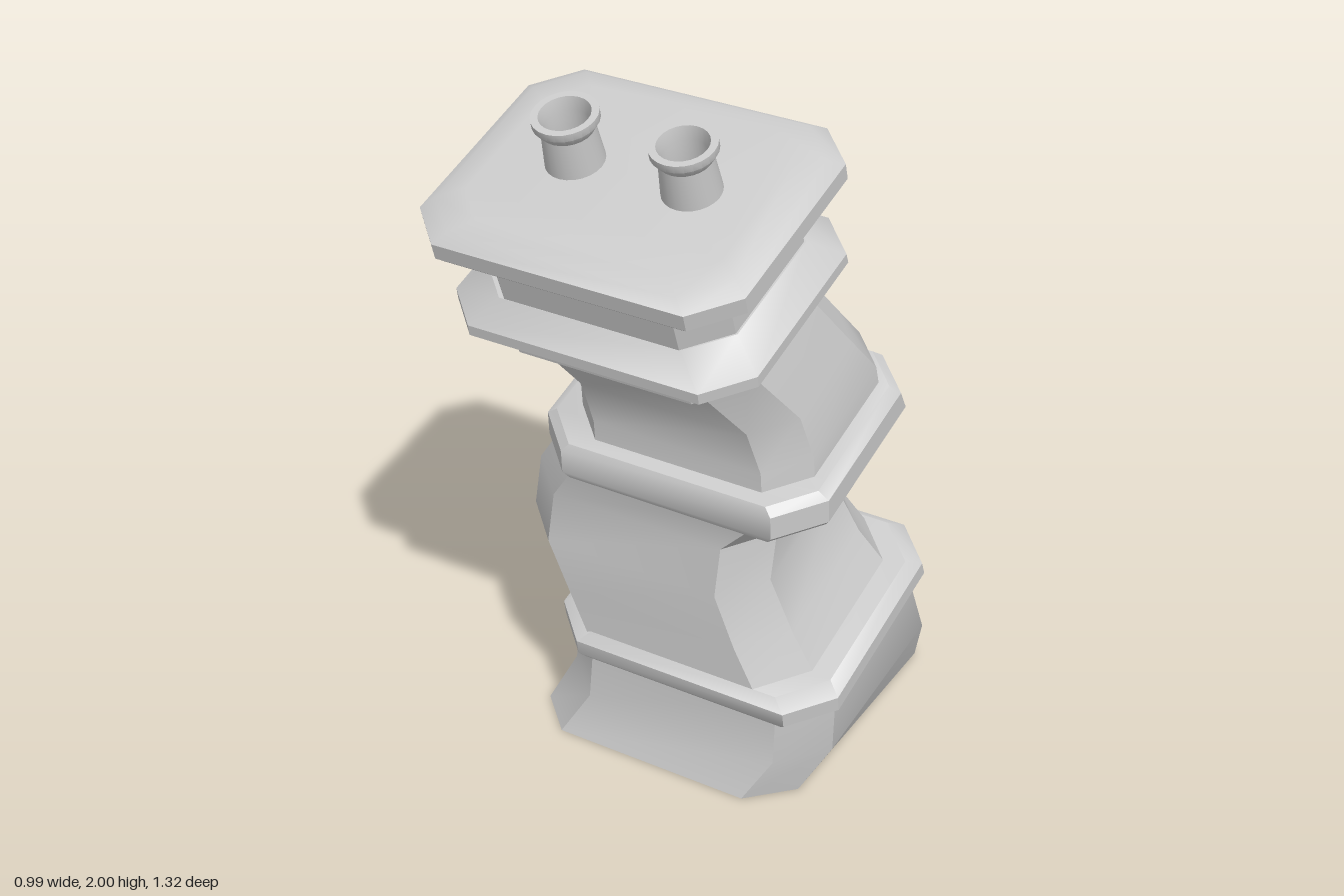
import * as THREE from 'three';
import { toCreasedNormals } from 'three/addons/utils/BufferGeometryUtils.js';

const TILT = 0.28; // forward lean shared by the collars and the cap
const material = new THREE.MeshStandardMaterial({ color: 0xcccccc });

// Solid through chamfered rectangles: [x, y, z, halfWidth, halfDepth, chamfer, tilt]
function loft(name, rings) {
  const pos = [], index = [];
  for (const [x, y, z, w, d, c, tilt = TILT] of rings) {
    const outline = [[w, d - c], [w, c - d], [w - c, -d], [c - w, -d],
      [-w, c - d], [-w, d - c], [c - w, d], [w - c, d]];
    for (const [lx, lz] of outline) {
      pos.push(x + lx, y - lz * Math.sin(tilt), z + lz * Math.cos(tilt));
    }
  }
  for (let r = 0; r < rings.length - 1; r++) {
    for (let i = 0; i < 8; i++) {
      const a = r * 8 + i, b = r * 8 + (i + 1) % 8;
      index.push(a, b, b + 8, a, b + 8, a + 8);
    }
  }
  const top = (rings.length - 1) * 8;
  for (let i = 1; i < 7; i++) {
    index.push(0, i + 1, i, top, top + i, top + i + 1);
  }
  const geometry = new THREE.BufferGeometry();
  geometry.setAttribute('position', new THREE.Float32BufferAttribute(pos, 3));
  geometry.setIndex(index);
  const mesh = new THREE.Mesh(toCreasedNormals(geometry, 0.6), material);
  mesh.name = name;
  return mesh;
}

// Straight slab stacked along the leaning axis; profile rows: [height, halfWidth, halfDepth, chamfer]
function slab(name, x, y, z, profile) {
  return loft(name, profile.map(([h, w, d, c]) =>
    [x, y + h * Math.cos(TILT), z + h * Math.sin(TILT), w, d, c]));
}

// Hollow round pot with a flared lip
function pot(name, x) {
  const profile = [[0.079, 0], [0.068, 0.13], [0.085, 0.155], [0.085, 0.175],
    [0.066, 0.175], [0.056, 0.14], [0.056, 0.06], [0, 0.06]];
  const geometry = new THREE.LatheGeometry(profile.map(p => new THREE.Vector2(...p)), 24);
  const mesh = new THREE.Mesh(toCreasedNormals(geometry, 0.6),
    new THREE.MeshStandardMaterial({ color: 0xcccccc, side: THREE.DoubleSide }));
  mesh.name = name;
  mesh.position.set(x, 1.81, 0.32);
  mesh.rotation.x = TILT;
  return mesh;
}

export function createModel() {
  const model = new THREE.Group();
  model.name = 'crookedChimney';
  model.add(
    // Splayed foot
    loft('base', [
      [-0.04, 0, -0.185, 0.41, 0.475, 0.115, 0],
      [0.035, 0.18, -0.14, 0.415, 0.395, 0.12, 0.13],
      [0.05, 0.41, -0.07, 0.41, 0.34, 0.12],
    ]),
    slab('lowerCollar', 0.055, 0.38, -0.075, [
      [0, 0.42, 0.36, 0.11], [0.02, 0.435, 0.37, 0.11],
      [0.065, 0.435, 0.365, 0.11], [0.09, 0.40, 0.335, 0.11],
    ]),
    // Lower bend, bulging to the right
    loft('lowerShaft', [
      [0.025, 0.44, -0.05, 0.385, 0.335, 0.12],
      [-0.04, 0.57, -0.025, 0.375, 0.31, 0.115],
      [-0.1, 0.72, -0.005, 0.372, 0.295, 0.11],
      [-0.09, 0.86, -0.01, 0.37, 0.282, 0.11],
      [0.01, 0.99, -0.01, 0.385, 0.31, 0.11],
    ]),
    slab('middleCollar', 0.035, 0.98, -0.005, [
      [0, 0.41, 0.325, 0.11], [0.02, 0.425, 0.33, 0.11],
      [0.085, 0.425, 0.315, 0.11], [0.105, 0.395, 0.3, 0.1],
    ]),
    // Upper bend, leaning forward
    loft('upperShaft', [
      [0.05, 1.05, 0, 0.35, 0.285, 0.1],
      [0.045, 1.14, 0.01, 0.35, 0.275, 0.1],
      [0.02, 1.25, 0.06, 0.345, 0.245, 0.1],
      [-0.035, 1.44, 0.205, 0.335, 0.25, 0.1],
    ]),
    slab('skirt', -0.04, 1.42, 0.215, [
      [0, 0.35, 0.267, 0.1], [0.1, 0.35, 0.267, 0.1],
    ]),
    slab('upperCollar', -0.045, 1.508, 0.236, [
      [0, 0.435, 0.338, 0.105], [0.03, 0.435, 0.335, 0.105], [0.095, 0.36, 0.275, 0.1],
    ]),
    slab('neck', -0.04, 1.57, 0.255, [
      [0, 0.35, 0.272, 0.1], [0.2, 0.35, 0.28, 0.1],
    ]),
    slab('cap', -0.045, 1.748, 0.307, [
      [0, 0.44, 0.343, 0.105], [0.015, 0.456, 0.355, 0.105], [0.06, 0.456, 0.355, 0.105],
      [0.083, 0.42, 0.325, 0.1], [0.094, 0.36, 0.27, 0.09],
    ]),
    pot('rightPot', -0.2),
    pot('leftPot', 0.13),
  );
  return model;
}
